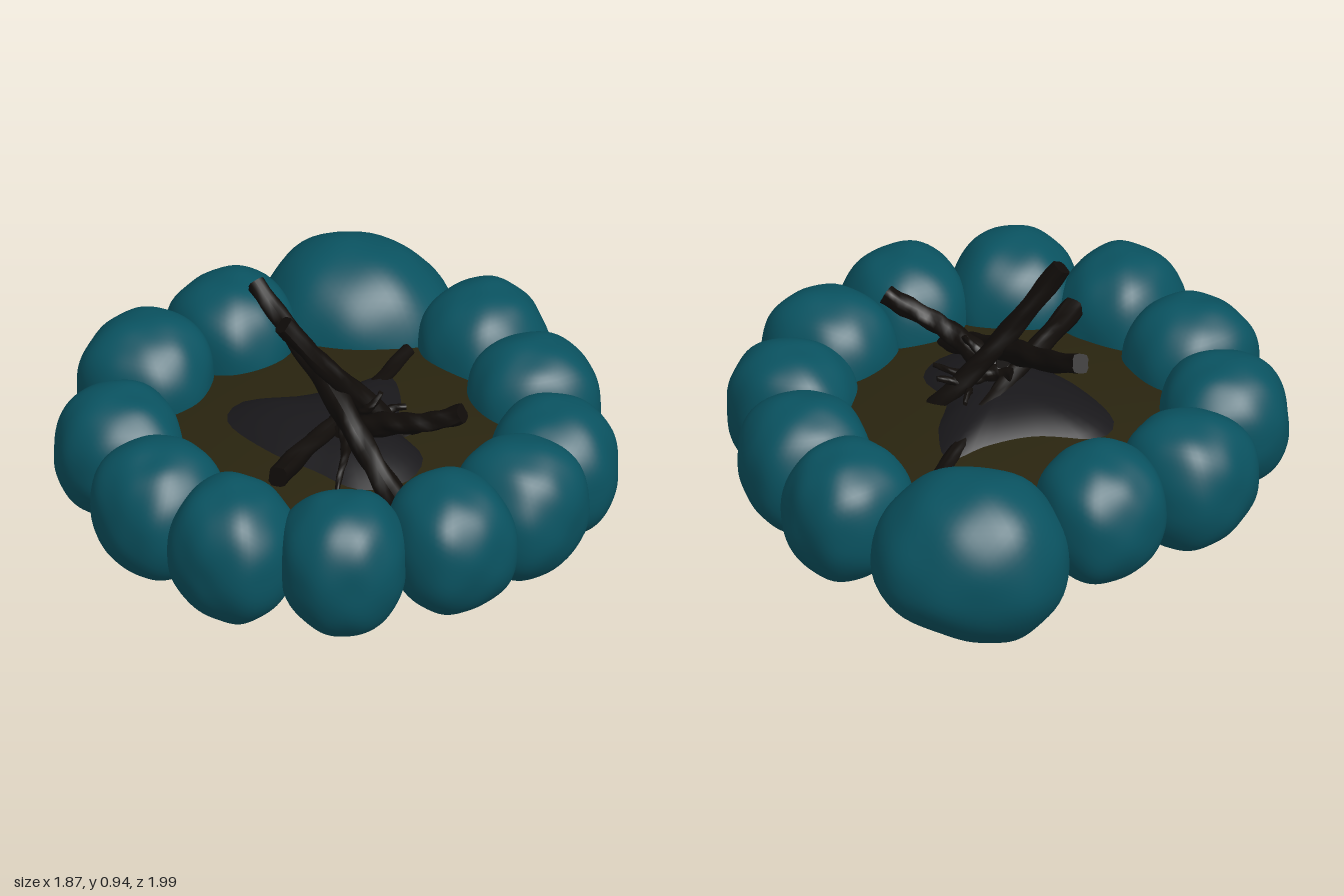
import * as THREE from 'three';
import { mergeVertices } from 'three/addons/utils/BufferGeometryUtils.js';

const mat = (color, side = THREE.FrontSide) =>
  new THREE.MeshStandardMaterial({ color, roughness: 0.9, side });
const V = (x, y, z) => new THREE.Vector3(x, y, z);

// Smooth bumps, different for every seed
const bumps = (p, seed, f) =>
  Math.sin(p.x * f + seed * 1.7) * Math.sin(p.y * f * 1.1 + seed * 2.3) +
  Math.sin(p.z * f * 0.9 + seed * 3.1) * Math.cos(p.x * f * 1.3 - seed);

// Rounded boulder: a sphere pushed towards a box (n > 2), dented, narrowed and shifted below
function boulder(rx, ry, rz, seed, { n = 2.35, taper = 0.1, shiftX = 0, shiftZ = 0 } = {}) {
  let geo = new THREE.IcosahedronGeometry(1, 12);
  geo.deleteAttribute('normal');
  geo.deleteAttribute('uv');
  geo = mergeVertices(geo);
  const pos = geo.attributes.position, p = V(0, 0, 0);
  for (let i = 0; i < pos.count; i++) {
    p.fromBufferAttribute(pos, i).normalize();
    const sum = Math.abs(p.x) ** n + Math.abs(p.y) ** n + Math.abs(p.z) ** n;
    const r = sum ** (-1 / n) * (1 + 0.025 * bumps(p, seed, 2.8) + 0.009 * bumps(p, seed, 7));
    p.multiplyScalar(r);
    const low = Math.max(0, -p.y) ** 2;
    const k = 1 - taper * low;
    pos.setXYZ(i, p.x * rx * k + shiftX * low, p.y * ry, p.z * rz * k + shiftZ * low);
  }
  geo.computeVertexNormals();
  return geo;
}

// Crooked stick with ridged bark, from a to b
function stick(a, b, r, seed, tipScale = 0.75) {
  const len = a.distanceTo(b);
  const geo = new THREE.CylinderGeometry(r * tipScale, r, len, 14, 24);
  const pos = geo.attributes.position, p = V(0, 0, 0);
  for (let i = 0; i < pos.count; i++) {
    p.fromBufferAttribute(pos, i);
    const t = p.y / len, ang = Math.atan2(p.z, p.x);
    const k = 1 + 0.1 * Math.sin(ang * 4 + t * 9 + seed) + 0.08 * Math.sin(t * 32 + ang * 2 + seed * 2);
    pos.setXYZ(i, p.x * k + 0.01 * Math.sin(t * 6 + seed), p.y, p.z * k + 0.01 * Math.cos(t * 7 + seed));
  }
  geo.computeVertexNormals();
  geo.applyQuaternion(new THREE.Quaternion().setFromUnitVectors(V(0, 1, 0), b.clone().sub(a).normalize()));
  const mid = a.clone().add(b).multiplyScalar(0.5);
  return geo.translate(mid.x, mid.y, mid.z);
}

// Mound built as rings shrinking towards a peak
function mound(outline, peak, base) {
  const curve = new THREE.CatmullRomCurve3(outline.map(([x, z]) => V(x, base, z)), true);
  const N = 48, R = 10, verts = [], idx = [];
  const edge = curve.getSpacedPoints(N).slice(0, N);
  for (let j = 0; j <= R; j++) {
    const t = 1 - j / R;
    for (const e of edge)
      verts.push(peak.x + (e.x - peak.x) * t, base + (peak.y - base) * (1 - t ** 2.6), peak.z + (e.z - peak.z) * t);
  }
  for (let j = 0; j < R; j++)
    for (let i = 0; i < N; i++) {
      const k = (i + 1) % N, a = j * N + i, b = j * N + k, c = a + N, d = b + N;
      idx.push(a, c, b, b, c, d);
    }
  const geo = new THREE.BufferGeometry();
  geo.setAttribute('position', new THREE.Float32BufferAttribute(verts, 3));
  geo.setIndex(idx);
  geo.computeVertexNormals();
  return geo;
}

export function createModel() {
  const model = new THREE.Group();
  const add = (parent, name, geo, material) => {
    const mesh = new THREE.Mesh(geo, material);
    mesh.name = name;
    parent.add(mesh);
    return mesh;
  };
  const group = (name) => {
    const g = new THREE.Group();
    g.name = name;
    model.add(g);
    return g;
  };

  // Ring of stones: x, z, bottom, top
  const stones = [
    [-0.29, -0.56, 0.17, 0.65], [-0.595, -0.35, 0.16, 0.64], [-0.725, 0.03, 0.16, 0.61],
    [-0.625, 0.385, 0.14, 0.62], [-0.405, 0.665, 0.14, 0.63], [-0.05, 0.775, 0.14, 0.63],
    [0.32, 0.695, 0.14, 0.63], [0.575, 0.48, 0.12, 0.61], [0.71, 0.215, 0.10, 0.58],
    [0.685, -0.145, 0.11, 0.60], [0.55, -0.46, 0.13, 0.61],
  ];
  const ring = group('stoneRing');
  const stoneMat = mat(0x0a5361);
  stones.forEach(([x, z, y0, y1], i) => {
    const s = add(ring, 'stone', boulder(0.213, (y1 - y0) / 2, 0.217, i + 1), stoneMat);
    s.position.set(x, (y0 + y1) / 2, z);
    s.rotation.y = Math.atan2(x, z);
  });
  const big = add(ring, 'largeStone',
    boulder(0.33, 0.315, 0.285, 5, { n: 2.15, taper: 0.35, shiftX: -0.07, shiftZ: 0.04 }), stoneMat);
  big.position.set(0.145, 0.325, -0.715);

  // Earth floor: a shallow lens whose rim lies inside the stones
  const profile = [];
  for (let i = 0; i <= 16; i++) {
    const t = i / 8 - 1, r = 1 - Math.abs(t);
    profile.push(new THREE.Vector2(r, 0.37 + Math.sign(t) * 0.08 * (1 - r * r)));
  }
  const floor = new THREE.LatheGeometry(profile, 48).scale(0.68, 1, 0.75).translate(0, 0, 0.03);
  add(model, 'groundDisc', floor, mat(0x29240f));

  // Ash heap
  const ash = mound([
    [-0.36, -0.04], [-0.31, -0.15], [-0.1, -0.17], [0.08, -0.22], [0.21, -0.27], [0.25, -0.1],
    [0.22, 0.08], [0.28, 0.25], [0.2, 0.38], [0.04, 0.42], [-0.1, 0.32], [-0.25, 0.18],
  ], V(0, 0.505, 0.08), 0.425);
  add(model, 'ashMound', ash, mat(0x19181b, THREE.DoubleSide));

  // Firewood: base, tip, radius
  const wood = mat(0x100c09);
  const pile = group('firewood');
  [
    [V(0.19, 0.4, 0.51), V(-0.23, 0.82, -0.275), 0.045],
    [V(0.46, 0.105, 0.08), V(-0.185, 0.93, 0.135), 0.043],
    [V(0, 0.49, 0.17), V(0.385, 0.69, 0.38), 0.042],
    [V(-0.23, 0.55, 0.49), V(0.29, 0.41, -0.42), 0.036],
  ].forEach(([a, b, r], i) => add(pile, 'log', stick(a, b, r, i * 2 + 1), wood));

  // Broken twigs and splinters
  [
    [V(0.03, 0.52, 0.12), V(0.23, 0.52, 0.08), 0.028],
    [V(0.06, 0.5, 0.15), V(0.13, 0.65, 0.17), 0.025],
    [V(0.02, 0.55, 0.15), V(-0.03, 0.45, 0.47), 0.022],
    [V(0.14, 0.5, 0.13), V(0.13, 0.5, -0.02), 0.02],
    [V(-0.02, 0.52, 0.1), V(0.24, 0.5, 0.2), 0.024],
  ].forEach(([a, b, r], i) => add(pile, 'twig', stick(a, b, r, i * 3 + 2, 0.35), wood));

  return model;
}
